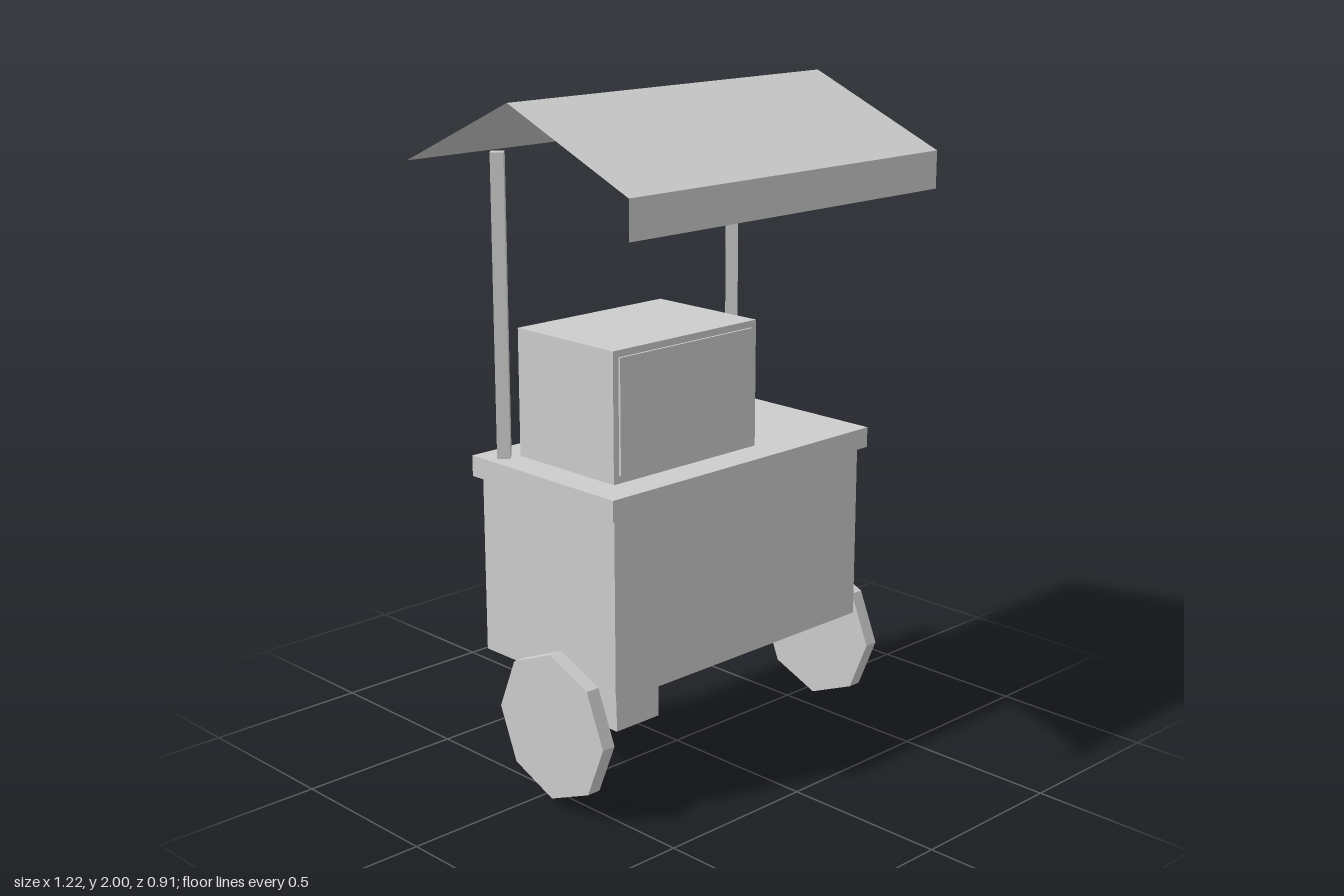
import * as THREE from 'three';

const grey = new THREE.MeshStandardMaterial({ color: 0xcccccc, flatShading: true, side: THREE.DoubleSide });
grey.name = 'lightGrey';

function add(parent, name, geometry, x = 0, y = 0, z = 0) {
  const mesh = new THREE.Mesh(geometry, grey);
  mesh.name = name;
  mesh.position.set(x, y, z);
  parent.add(mesh);
  return mesh;
}

// Box given by its limits on each axis; hollow boxes have no bottom face
function addBox(parent, name, [x0, x1], [y0, y1], [z0, z1], hollow = false) {
  const geometry = new THREE.BoxGeometry(x1 - x0, y1 - y0, z1 - z0);
  if (hollow) {
    const index = Array.from(geometry.index.array);
    index.splice(18, 6);
    geometry.setIndex(index);
    geometry.clearGroups();
  }
  return add(parent, name, geometry, (x0 + x1) / 2, (y0 + y1) / 2, (z0 + z1) / 2);
}

// Thin sheet following a (z, y) profile across the full width
function sheet(profile, halfWidth) {
  const positions = [];
  for (let i = 0; i < profile.length - 1; i++) {
    const [z0, y0] = profile[i];
    const [z1, y1] = profile[i + 1];
    const a = [-halfWidth, y0, z0], b = [-halfWidth, y1, z1];
    const c = [halfWidth, y1, z1], d = [halfWidth, y0, z0];
    positions.push(...a, ...b, ...c, ...a, ...c, ...d);
  }
  const geometry = new THREE.BufferGeometry();
  geometry.setAttribute('position', new THREE.Float32BufferAttribute(positions, 3));
  geometry.computeVertexNormals();
  return geometry;
}

export function createModel() {
  const cart = new THREE.Group();
  cart.name = 'vendingCart';

  // Cart body, counter and rear support
  addBox(cart, 'body', [-0.5, 0.5], [0.36, 0.895], [-0.29, 0.27], true);
  addBox(cart, 'counter', [-0.522, 0.522], [0.895, 0.957], [-0.31, 0.29], true);
  addBox(cart, 'supportLeg', [-0.09, 0.09], [0, 0.36], [-0.257, -0.175], true);

  // Display cabinet with a thin front panel
  addBox(cart, 'cabinet', [-0.425, 0.135], [0.957, 1.335], [-0.21, 0.188]);
  addBox(cart, 'cabinetPanel', [-0.405, 0.112], [0.98, 1.315], [0.188, 0.195]);

  // Wheels and roof poles, mirrored
  for (const [label, side] of [['left', 1], ['right', -1]]) {
    const wheel = add(cart, label + 'Wheel', new THREE.CylinderGeometry(0.22, 0.22, 0.043, 8),
      side * 0.555, 0.248, 0.08);
    wheel.rotation.z = Math.PI / 2;
    add(cart, label + 'Pole', new THREE.CylinderGeometry(0.027, 0.027, 0.88, 4),
      side * 0.466, 1.397, -0.233);
  }

  // Pitched awning with a front valance
  add(cart, 'awning', sheet([[-0.457, 1.803], [-0.015, 2], [0.452, 1.803], [0.452, 1.692]], 0.608));

  return cart;
}
